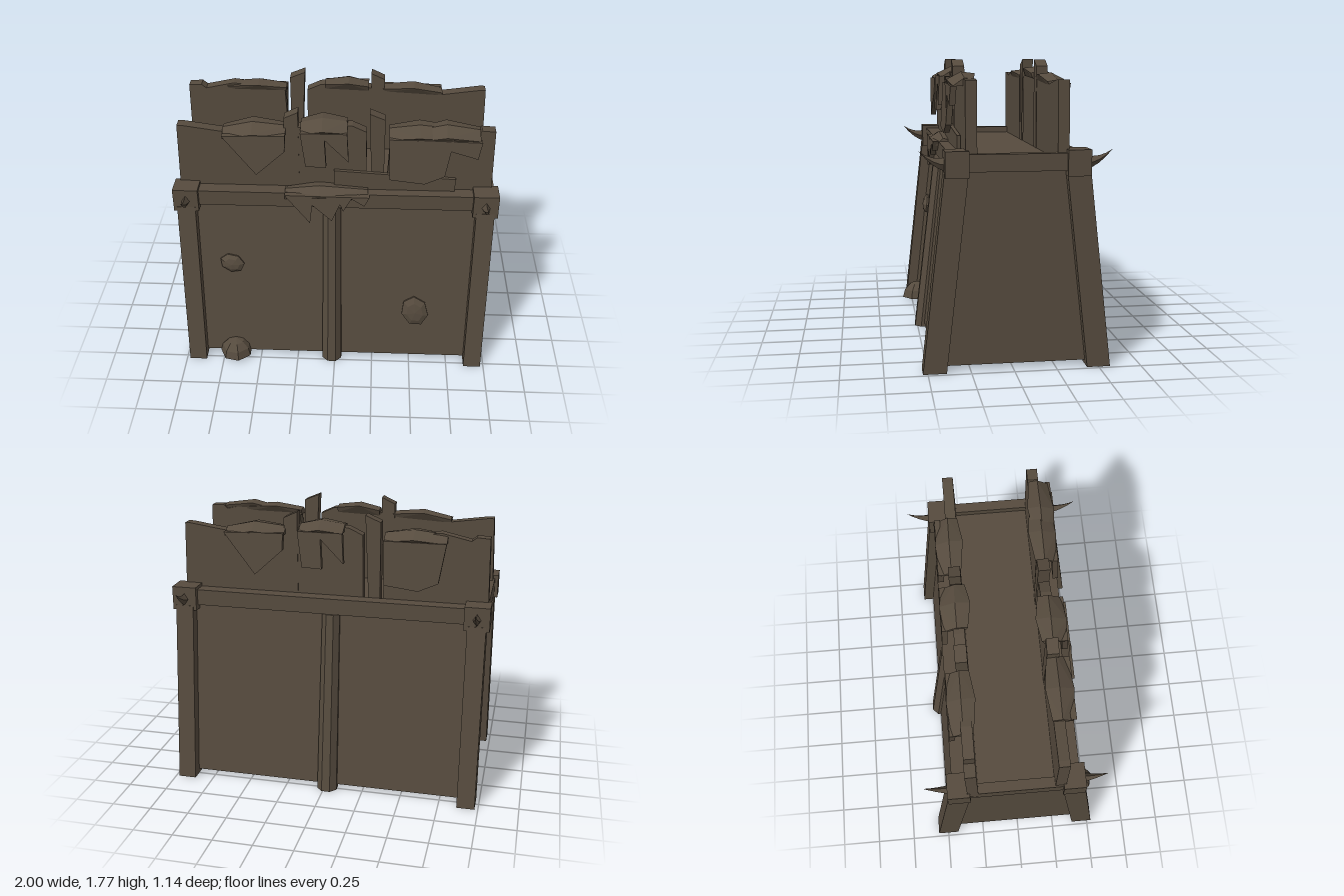
import * as THREE from 'three';
import { ConvexGeometry } from 'three/addons/geometries/ConvexGeometry.js';

const wood = new THREE.MeshStandardMaterial({ color: 0x564b3e, flatShading: true, side: THREE.DoubleSide });
wood.name = 'weathered brown';

const LEAN = 0.113; // how far the walls lean inwards per unit of height

function add(parent, name, geometry, x = 0, y = 0, z = 0) {
  const mesh = new THREE.Mesh(geometry, wood);
  mesh.name = name;
  mesh.position.set(x, y, z);
  parent.add(mesh);
  return mesh;
}

const box = (parent, name, w, h, d, x, y, z) => add(parent, name, new THREE.BoxGeometry(w, h, d), x, y, z);

// Move every vertex by a rule
function warp(geometry, rule) {
  const p = geometry.attributes.position;
  const v = new THREE.Vector3();
  for (let i = 0; i < p.count; i++) {
    rule(v.fromBufferAttribute(p, i));
    p.setXYZ(i, v.x, v.y, v.z);
  }
  geometry.computeVertexNormals();
  return geometry;
}

// Flat outline in x and y, given thickness along z
function slab(points, z, depth) {
  const shape = new THREE.Shape(points.map(([x, y]) => new THREE.Vector2(x, y)));
  return new THREE.ExtrudeGeometry(shape, { depth, bevelEnabled: false }).translate(0, 0, z);
}

// Torn hide: a hanging sheet with a faceted fold over the top edge
function hide(parent, name, hang, ridge, z, back) {
  const group = new THREE.Group();
  group.name = name;
  const sheet = warp(slab(hang, z - 0.035, 0.035), (v) => { v.z -= (v.y - hang[0][1]) * 0.06; });
  add(group, name + 'Sheet', sheet);
  const pts = [];
  ridge.forEach(([x, y], i) => {
    const inner = i > 0 && i < ridge.length - 1;
    pts.push(new THREE.Vector3(x, y - 0.045, z + (inner ? 0.005 : -0.015)));
    pts.push(new THREE.Vector3(x, y, (z + back) / 2));
    pts.push(new THREE.Vector3(x, y - 0.01, back + (inner ? 0 : 0.025)));
    pts.push(new THREE.Vector3(x, y - 0.045, back + 0.04));
  });
  add(group, name + 'Fold', new ConvexGeometry(pts));
  parent.add(group);
}

// Upper wall with two boards, two stakes and three hides
function parapet(name) {
  const g = new THREE.Group();
  g.name = name;
  add(g, 'longBoard', slab([[-0.97, 1.2], [0.19, 1.2], [0.185, 1.65], [0.1, 1.69], [0, 1.7], [-0.2, 1.675],
    [-0.32, 1.66], [-0.68, 1.635], [-0.92, 1.67], [-0.955, 1.67]], 0.231, 0.066));
  add(g, 'shortBoard', slab([[0.31, 1.2], [0.96, 1.2], [0.95, 1.67], [0.87, 1.675], [0.84, 1.65],
    [0.66, 1.69], [0.33, 1.65]], 0.231, 0.066));
  add(g, 'leftStake', slab([[-0.31, 1.2], [-0.225, 1.2], [-0.225, 1.775], [-0.31, 1.735]], 0.228, 0.072));
  add(g, 'rightStake', slab([[0.225, 1.2], [0.295, 1.2], [0.295, 1.735], [0.2, 1.775]], 0.228, 0.072));
  hide(g, 'pointedHide', [[-0.68, 1.64], [-0.48, 1.385], [-0.305, 1.545], [-0.3, 1.65]],
    [[-0.68, 1.66], [-0.5, 1.70], [-0.3, 1.68]], 0.365, 0.2);
  hide(g, 'tornHide', [[-0.21, 1.67], [-0.18, 1.45], [-0.055, 1.445], [-0.065, 1.63], [0.08, 1.485], [0.07, 1.67]],
    [[-0.21, 1.70], [-0.08, 1.73], [0.07, 1.71]], 0.365, 0.185);
  hide(g, 'broadHide', [[0.32, 1.64], [0.33, 1.37], [0.54, 1.345], [0.66, 1.4], [0.7, 1.64]],
    [[0.32, 1.675], [0.5, 1.70], [0.7, 1.68]], 0.365, 0.2);
  return g;
}

export function createModel() {
  const model = new THREE.Group();
  model.name = 'fortifiedTower';
  const body = new THREE.Group();
  body.name = 'body';
  body.position.z = -0.02;
  model.add(body);

  // Tapered shell, open underneath
  const shell = new THREE.BoxGeometry(1.86, 1.19, 0.96);
  const faces = Array.from(shell.index.array);
  faces.splice(18, 6);
  shell.setIndex(faces);
  shell.clearGroups();
  warp(shell, (v) => {
    v.y += 0.625;
    v.z -= Math.sign(v.z) * LEAN * v.y;
  });
  add(body, 'walls', shell);

  for (const s of [1, -1]) {
    const side = s > 0 ? 'front' : 'back';
    // Corner posts, blocks and horns
    for (const x of [-0.9225, 0.9225]) {
      const post = warp(new THREE.BoxGeometry(0.113, 1.16, 0.137), (v) => {
        v.y += 0.58;
        v.z += s * (0.48 - LEAN * v.y);
      });
      add(body, side + 'Post', post, x);
      box(body, side + 'CornerBlock', 0.155, 0.15, 0.135, x, 1.205, s * 0.348);
      const horn = warp(new THREE.ConeGeometry(1, 1, 4, 4), (v) => {
        const t = v.y + 0.5;
        const side2 = v.x * 0.028, up = v.z * 0.042;
        v.set(side2, 1.2 + up + 0.075 * t * t, s * (0.4 + 0.155 * t));
      });
      if (s > 0) horn.setIndex(Array.from(horn.index.array).reverse());
      horn.computeVertexNormals();
      add(body, side + 'Horn', horn, x);
    }
    // Long rail and eight-sided middle post
    box(body, side + 'Rail', 1.7, 0.1, 0.085, 0, 1.21, s * 0.3425);
    const middle = warp(new THREE.CylinderGeometry(0.06, 0.069, 1.16, 8).rotateY(Math.PI / 8), (v) => {
      v.y += 0.58;
      v.z += s * (0.472 - LEAN * v.y);
    });
    add(body, side + 'MiddlePost', middle, -0.02);
    // Side rail
    box(body, 'sideRail', 0.065, 0.1, 0.57, s * 0.946, 1.21, 0);
  }

  // Upper walls, the back one turned half round
  body.add(parapet('frontParapet'));
  const rear = parapet('backParapet');
  rear.rotation.y = Math.PI;
  rear.position.x = -0.02;
  body.add(rear);

  // Extra pieces on the front only
  hide(body, 'cornerHide', [[0.49, 1.645], [0.6, 1.6], [0.62, 1.53], [0.66, 1.5], [0.7, 1.65], [0.85, 1.525], [0.87, 1.635]],
    [[0.49, 1.67], [0.66, 1.71], [0.86, 1.68]], 0.37, 0.21);
  hide(body, 'railHide', [[-0.31, 1.265], [-0.155, 1.07], [-0.14, 1.2], [-0.02, 1.09], [0.03, 1.21], [0.05, 1.16],
    [0.1, 1.25], [0.18, 1.2], [0.21, 1.26]], [[-0.31, 1.275], [-0.1, 1.3], [0.2, 1.28]], 0.42, 0.29);
  add(body, 'loosePlank', slab([[-0.01, 1.22], [0.73, 1.22], [0.735, 1.345], [-0.01, 1.39]], 0.3, 0.022));

  // Flat stones set in the front wall
  for (const [x, y, rx, ry, turn] of [[-0.665, 0.72, 0.085, 0.068, -0.4], [0.525, 0.385, 0.092, 0.12, 0.25]]) {
    const stone = add(body, 'wallStone', new THREE.SphereGeometry(1, 7, 5).rotateX(Math.PI / 2), x, y, 0.48 - LEAN * y);
    stone.scale.set(rx, ry, 0.035);
    stone.rotation.set(-0.113, 0, turn);
  }
  // Stone at the foot of the wall
  const foot = new THREE.SphereGeometry(1, 7, 3, 0, Math.PI * 2, 0, Math.PI / 2);
  add(body, 'footStone', foot, -0.668, 0.025, 0.48).scale.set(0.108, 0.11, 0.11);

  return model;
}
